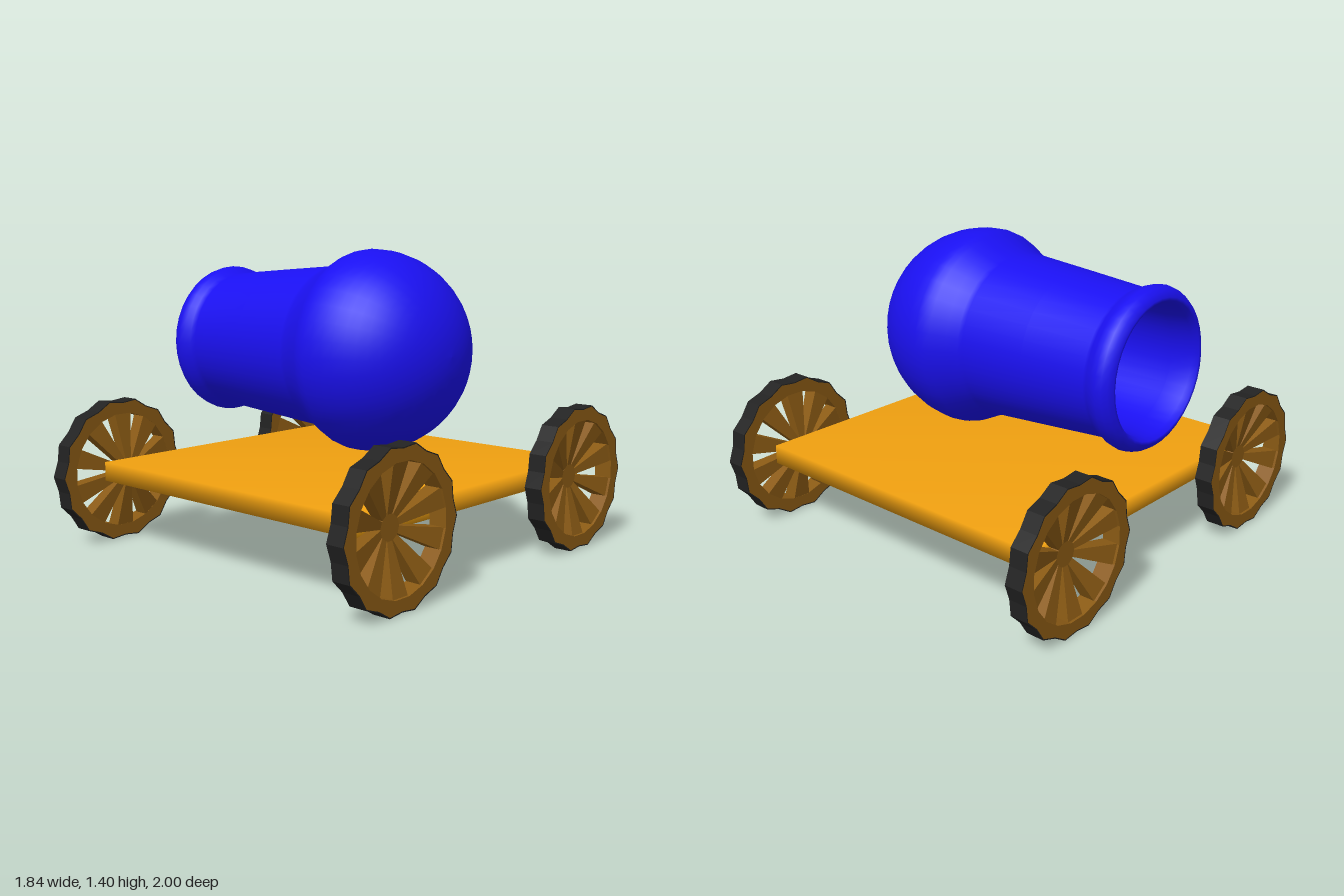
import * as THREE from 'three';
import { mergeVertices } from 'three/addons/utils/BufferGeometryUtils.js';

const blue = new THREE.MeshStandardMaterial({ color: 0x1a10f0, side: THREE.DoubleSide });
const orange = new THREE.MeshStandardMaterial({ color: 0xf0a010 });
const brown = new THREE.MeshStandardMaterial({ color: 0x8a5a14, flatShading: true });
const black = new THREE.MeshStandardMaterial({ color: 0x222222, flatShading: true });

const RIM_IN = 0.835, RIM_OUT = 0.92, WHEEL_Y = 0.347;
const SPOKES = 10, SCALLOPS = 14;

function add(parent, name, geometry, material) {
  const mesh = new THREE.Mesh(geometry, material);
  mesh.name = name;
  parent.add(mesh);
  return mesh;
}

// Wavy outline: peaks and dips alternate around the wheel
function scallop(scale) {
  const points = [];
  for (let i = 0; i < SCALLOPS * 2; i++) {
    const a = (i * Math.PI) / SCALLOPS, r = (i % 2 ? 0.328 : 0.345) * scale;
    points.push(new THREE.Vector2(Math.cos(a) * r, Math.sin(a) * r));
  }
  return points;
}

function ring(outer, hole, z0, z1) {
  const shape = new THREE.Shape(outer);
  shape.holes.push(new THREE.Path(hole));
  const g = new THREE.ExtrudeGeometry(shape, { depth: z1 - z0, bevelEnabled: false });
  return g.translate(0, 0, z0);
}

// Spoke widens outward and leans in toward the hub
function spokeGeometry() {
  const g = new THREE.BoxGeometry(1, 1, 1), p = g.attributes.position;
  const mix = THREE.MathUtils.lerp;
  for (let i = 0; i < p.count; i++) {
    const t = p.getY(i) + 0.5;
    const z = p.getZ(i) < 0 ? mix(0.8, 0.838, t) : mix(0.85, 0.912, t);
    p.setXYZ(i, p.getX(i) * mix(0.028, 0.095, t), mix(0.045, 0.285, t), z);
  }
  return g;
}

// Wheel with its axle along local z
function makeWheel() {
  const wheel = new THREE.Group();
  const circle = [];
  for (let i = 0; i < SPOKES * 2; i++) {
    const a = (i * Math.PI) / SPOKES + Math.PI / 20;
    circle.push(new THREE.Vector2(Math.cos(a) * 0.275, Math.sin(a) * 0.275));
  }
  add(wheel, 'tyre', ring(scallop(1), scallop(0.985), RIM_IN, RIM_OUT), black);
  add(wheel, 'rim', ring(scallop(0.985), circle, RIM_IN, RIM_OUT), brown);
  const hub = new THREE.CylinderGeometry(0.058, 0.058, 0.035, SPOKES);
  add(wheel, 'hub', hub.rotateX(Math.PI / 2).translate(0, 0, 0.835), brown);
  const spoke = spokeGeometry();
  for (let i = 0; i < SPOKES; i++) {
    add(wheel, 'spoke', spoke, brown).rotation.z = (i * Math.PI * 2) / SPOKES;
  }
  return wheel;
}

// Hollow barrel, profile as [radius, position along x], ending in a ball
function barrelGeometry() {
  const profile = [
    [0, 0.1], [0.2, 0.08], [0.28, 0], [0.285, -0.3], [0.285, -0.7], [0.295, -0.8], [0.308, -0.828],
    [0.322, -0.83], [0.345, -0.815], [0.36, -0.793], [0.367, -0.765], [0.36, -0.735],
    [0.345, -0.705], [0.335, -0.68], [0.36, -0.36], [0.384, -0.04], [0.39, -0.015],
    [0.412, 0.04], [0.448, 0.11], [0.46, 0.14],
  ].map(([r, x]) => new THREE.Vector2(r, x));
  for (let i = 0; i <= 14; i++) {
    const a = (i / 14) * (Math.PI / 2);
    profile.push(new THREE.Vector2(Math.max(0, Math.cos(a) * 0.466), 0.175 + Math.sin(a) * 0.466));
  }
  return new THREE.LatheGeometry(profile, 36).rotateZ(-Math.PI / 2);
}

// Thin board whose shading is blended over its edges
function boardGeometry() {
  let g = new THREE.BoxGeometry(1.605, 0.09, 1.605);
  g.deleteAttribute('normal');
  g.deleteAttribute('uv');
  g = mergeVertices(g);
  g.computeVertexNormals();
  return g;
}

export function createModel() {
  const model = new THREE.Group();
  model.name = 'cannonCart';

  add(model, 'barrel', barrelGeometry(), blue).position.set(0, 0.947, -0.012);
  add(model, 'board', boardGeometry(), orange).position.set(0, 0.36, -0.012);

  for (const side of [1, -1]) {
    for (const end of [1, -1]) {
      const wheel = makeWheel();
      wheel.name = (end > 0 ? 'front' : 'back') + (side > 0 ? 'Left' : 'Right') + 'Wheel';
      wheel.position.set(0, WHEEL_Y, end * 0.655);
      wheel.rotation.y = (side * Math.PI) / 2;
      model.add(wheel);
    }
  }
  return model;
}
